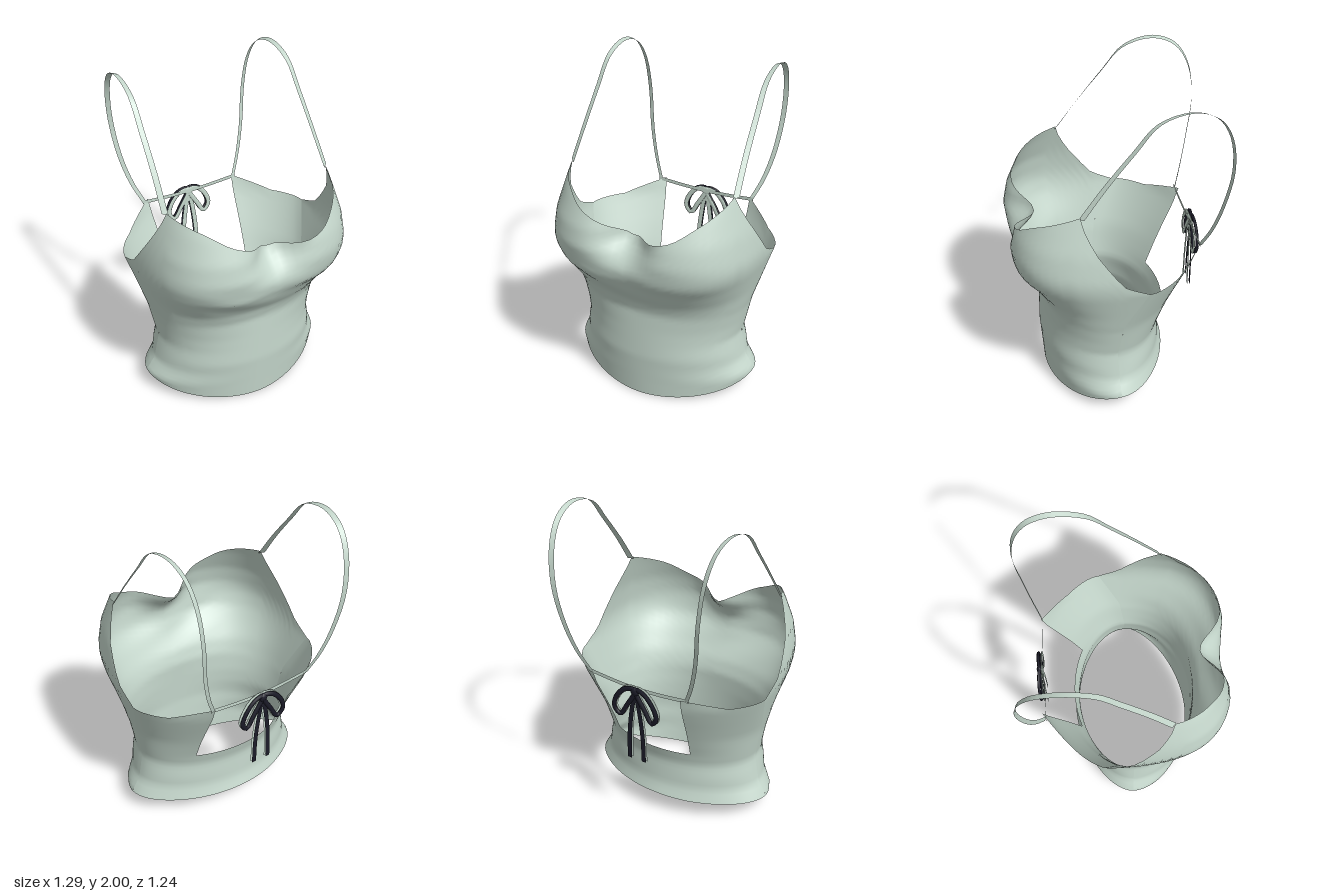
import * as THREE from 'three';

const fabric = new THREE.MeshStandardMaterial({ color: 0xc5d7cc, side: THREE.DoubleSide });
fabric.name = 'sage fabric';
const cord = new THREE.MeshStandardMaterial({ color: 0x1b1b28, side: THREE.DoubleSide });
cord.name = 'dark cord';

// Piecewise-linear lookup through [position, value] pairs
function lookup(table, p) {
  if (p <= table[0][0]) return table[0][1];
  for (let i = 1; i < table.length; i++) {
    const [a, va] = table[i - 1], [b, vb] = table[i];
    if (p <= b) return va + (vb - va) * (p - a) / (b - a);
  }
  return table[table.length - 1][1];
}

// Smooth surface from a function of u, v in 0..1; keep() may drop cells
function sheet(fn, nu, nv, keep = () => true) {
  const pos = [], index = [];
  for (let j = 0; j <= nv; j++) for (let i = 0; i <= nu; i++) pos.push(...fn(i / nu, j / nv));
  for (let j = 0; j < nv; j++) for (let i = 0; i < nu; i++) {
    if (!keep((i + 0.5) / nu, (j + 0.5) / nv)) continue;
    const a = j * (nu + 1) + i, d = a + nu + 1;
    index.push(a, a + 1, d + 1, a, d + 1, d);
  }
  const g = new THREE.BufferGeometry();
  g.setAttribute('position', new THREE.Float32BufferAttribute(pos, 3));
  g.setIndex(index);
  g.computeVertexNormals();
  return g;
}

function add(parent, name, geometry, material) {
  const mesh = new THREE.Mesh(geometry, material);
  mesh.name = name;
  parent.add(mesh);
  return mesh;
}

const curveOf = (pts, closed = false) =>
  new THREE.CatmullRomCurve3(pts.map(p => new THREE.Vector3(...p)), closed);
const flip = (pts, m) => pts.map(([x, y, z]) => [x * m, y, z]);

// Flat ribbon along a path; across(u) gives its width vector
function ribbon(points, across) {
  const curve = curveOf(points);
  return sheet((u, v) => {
    const w = across(u);
    return curve.getPoint(u).toArray().map((c, k) => c + (v - 0.5) * w[k]);
  }, 40, 1);
}

// Body outline by height: half width, side seam depth, front and back depth
const halfWidth = [[0, 0.58], [0.13, 0.608], [0.22, 0.55], [0.4, 0.515], [0.6, 0.55], [0.8, 0.602],
  [0.94, 0.638], [1.03, 0.645], [1.2, 0.622], [1.35, 0.58], [1.43, 0.56]];
const seamZ = [[0.13, 0.02], [0.4, 0.03], [0.65, 0], [0.94, -0.13]];
const frontZ = [[0, 0.43], [0.3, 0.45], [0.63, 0.44], [0.72, 0.47], [0.8, 0.52], [0.92, 0.602],
  [1.08, 0.634], [1.2, 0.612], [1.35, 0.55], [1.43, 0.5]];
const backZ = [[0.14, -0.345], [0.22, -0.315], [0.4, -0.305], [0.5, -0.335], [0.75, -0.46], [1.03, -0.615]];
const frontRoundness = [[0.12, 1.85], [0.3, 2.1], [0.5, 2.1], [0.75, 2.5], [1, 3.3]];
const backRoundness = [[0.14, 1.75], [0.3, 1.95], [0.5, 1.95], [1, 1.55]];
const neckline = [[0, 1.16], [0.125, 1.2], [0.3, 1.27], [0.42, 1.345], [0.53, 1.39], [0.64, 1.43],
  [0.742, 1.24], [0.886, 1.0], [1, 0.94]];
const backEdge = [[0, 0.94], [0.5, 0.945], [1, 1.03]];
const WINDOW_Y = 0.5;

// Point of a unit superellipse in the direction of an angle
function rounded(angle, n) {
  const s = Math.sin(angle), c = Math.max(0, Math.cos(angle));
  const r = Math.pow(Math.pow(Math.abs(s), n) + Math.pow(c, n), -1 / n);
  return [s * r, c * r];
}

function frontPoint(u, v) {
  const s = u * 2 - 1, t = Math.abs(s), angle = s * Math.PI / 2;
  let top = lookup(neckline, t);
  if (t < 0.64) top -= 0.03 * Math.sin(Math.PI * s / 0.64);
  const hem = 0.125 * (1 - rounded(angle, 1.9)[1]);
  const y = hem + (top - hem) * v;
  const [sx, cz] = rounded(angle, lookup(frontRoundness, y));
  const x = sx * lookup(halfWidth, y), side = lookup(seamZ, y);
  let z = side + (lookup(frontZ, y) - side) * cz;
  // dip between the cups, and soft slanting drape folds beneath them
  z -= 0.17 * Math.exp(-((x / 0.14) ** 2)) * THREE.MathUtils.smoothstep(y, 0.96, 1.17);
  z -= 0.02 * Math.exp(-((x / 0.12) ** 2)) * Math.exp(-(((y - 0.97) / 0.08) ** 2));
  z += 0.007 * cz * Math.sin(26 * (y + 0.2 * x - 0.5 * x * x) + 3 * x) * Math.exp(-(((y - 0.86) / 0.12) ** 2));
  return [x, y, z];
}

// Back: outer columns are the side panels, inner ones stop at the window sill
const SIDE_SHARE = 0.6;
function backPoint(u, v) {
  const s = 1 - u * 2, fromSide = 1 - Math.abs(s);
  const k = Math.min(1, fromSide / SIDE_SHARE);
  const hem = 0.125 + 0.025 * fromSide, rise = Math.max(0, v * 2 - 1);
  const y = v <= 0.5 ? hem + (WINDOW_Y - hem) * v * 2
    : WINDOW_Y + (lookup(backEdge, k) - WINDOW_Y) * rise;
  const w = lookup(halfWidth, y), n = lookup(backRoundness, y);
  const edge = (s < 0 ? 0.235 + 0.06 * rise : 0.3 + 0.015 * rise) / w;
  const edgeAngle = Math.atan2(edge, Math.pow(1 - Math.pow(edge, n), 1 / n));
  const angle = fromSide < SIDE_SHARE
    ? Math.PI / 2 + (edgeAngle - Math.PI / 2) * k
    : edgeAngle * (1 - fromSide) / (1 - SIDE_SHARE);
  const [sx, cz] = rounded(angle, n);
  const side = lookup(seamZ, y);
  return [Math.sign(s) * sx * w, y, side + (lookup(backZ, y) - side) * cz];
}

export function createModel() {
  const model = new THREE.Group();
  model.name = 'camisole';

  add(model, 'frontPanel', sheet(frontPoint, 50, 44), fabric);
  add(model, 'backPanel', sheet(backPoint, 40, 24,
    (u, v) => v < 0.5 || 1 - Math.abs(1 - u * 2) < SIDE_SHARE), fabric);

  // Shoulder straps, turned slightly outward at the front
  const strapPath = [[0.532, 1.42, 0.24], [0.522, 1.6, 0.11], [0.515, 1.8, -0.05], [0.51, 1.95, -0.18],
    [0.505, 2.0, -0.36], [0.495, 1.95, -0.5], [0.483, 1.82, -0.585], [0.466, 1.6, -0.618],
    [0.435, 1.35, -0.585], [0.385, 1.16, -0.543], [0.325, 1.02, -0.498]];
  for (const m of [1, -1]) {
    add(model, m > 0 ? 'leftStrap' : 'rightStrap', ribbon(flip(strapPath, m),
      u => [0.03 * m, 0.008, -0.008 - 0.018 * Math.max(0, 1 - u * 2.5)]), fabric);
  }

  // Tie across the open back
  add(model, 'backTie', ribbon([[-0.34, 1.025, -0.495], [-0.15, 1.01, -0.5], [0, 1.005, -0.502],
    [0.15, 1.01, -0.5], [0.34, 1.025, -0.495]], () => [0, 0.024, 0]), fabric);

  // Bow: knot, two drooping loops and two flat tails, dark outside over a fabric backing
  const loop = [[0, 0.01, 0], [0.06, 0.005, -0.01], [0.125, -0.065, -0.015], [0.145, -0.14, -0.01],
    [0.11, -0.185, 0], [0.06, -0.11, 0.005]];
  const tail = [[0, 0, 0], [0.025, -0.13, 0], [0.045, -0.3, 0], [0.05, -0.48, 0]];
  for (const [name, material, z, flat] of [['bow', cord, -0.527, 0.6], ['bowBacking', fabric, -0.511, 0.25]]) {
    const layer = new THREE.Group();
    layer.name = name + 'Layer';
    layer.position.set(0, 1, z);
    layer.scale.z = flat;
    model.add(layer);
    add(layer, name + 'Knot', new THREE.SphereGeometry(0.028, 12, 8), material);
    for (const m of [1, -1]) {
      add(layer, name + 'Loop', new THREE.TubeGeometry(curveOf(flip(loop, m), true), 32, 0.016, 6, true), material);
      add(layer, name + 'Tail', ribbon(flip(tail, m), () => [0.03, 0, 0]), material);
    }
  }
  return model;
}
